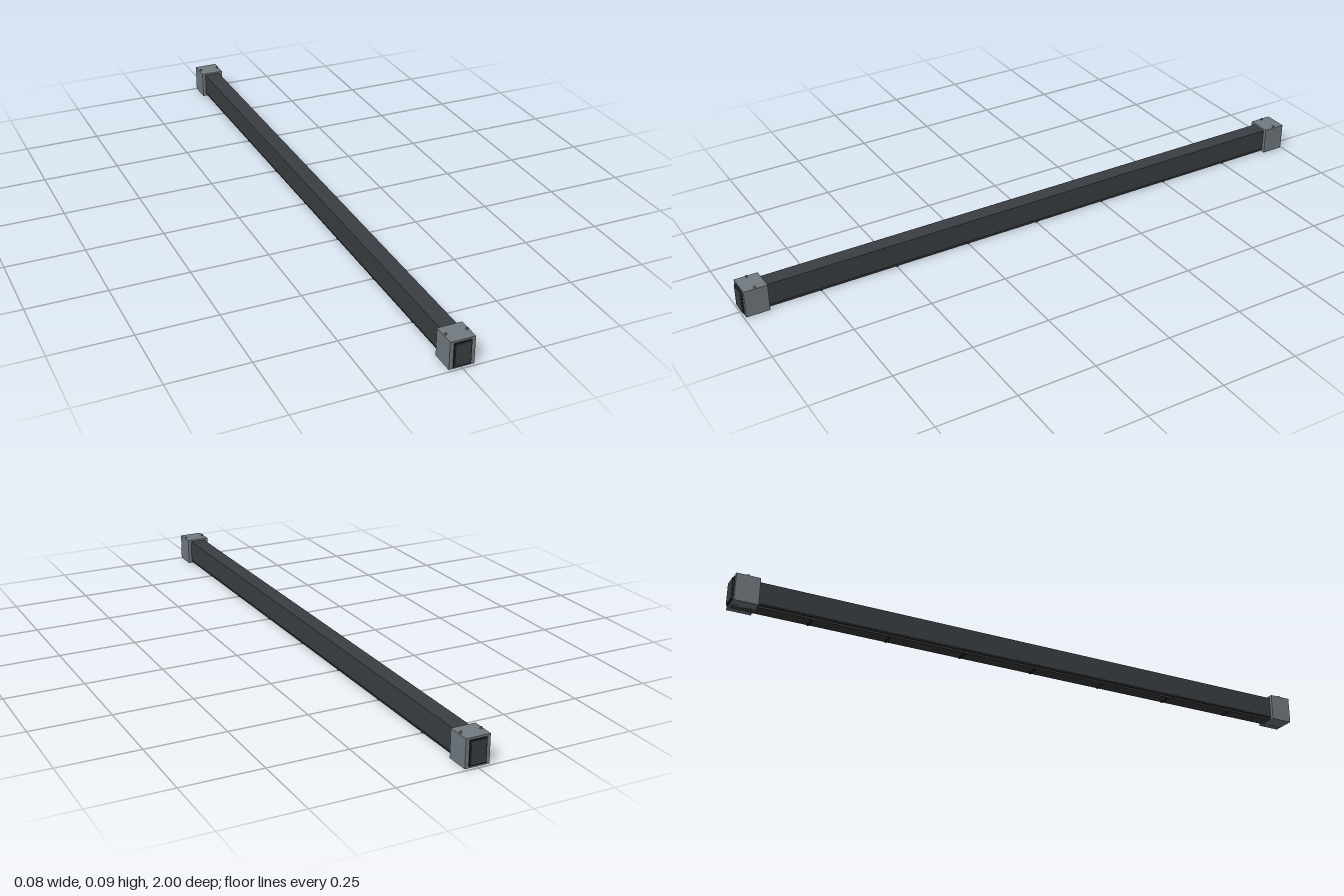
import * as THREE from 'three';

const HALF = 1;          // half length of the bar
const BRACKET_Z = 0.957; // centre of each end bracket

const paint = (color) => new THREE.MeshStandardMaterial({ color });
const housingMat = paint(0x3a3f43);
const bracketMat = paint(0x737b81);
const darkMat = paint(0x202326);
const lensMat = paint(0x3c3c3c);

function add(parent, name, geometry, material, x = 0, y = 0, z = 0) {
  const mesh = new THREE.Mesh(geometry, material);
  mesh.name = name;
  mesh.position.set(x, y, z);
  parent.add(mesh);
  return mesh;
}

// Box given by its width, bottom, top and length, centred on x
function bar(parent, name, material, width, y0, y1, length, z = 0) {
  return add(parent, name, new THREE.BoxGeometry(width, y1 - y0, length), material, 0, (y0 + y1) / 2, z);
}

function rectangle(target, hw, y0, y1) {
  target.moveTo(-hw, y0);
  target.lineTo(hw, y0);
  target.lineTo(hw, y1);
  target.lineTo(-hw, y1);
  target.closePath();
  return target;
}

// Rectangular sleeve that wraps the housing, with two screws on top
function createBracket(side) {
  const bracket = new THREE.Group();
  bracket.name = side > 0 ? 'frontBracket' : 'backBracket';

  const depth = 0.074;
  const shape = rectangle(new THREE.Shape(), 0.0385, 0.002, 0.09);
  shape.holes.push(rectangle(new THREE.Path(), 0.027, 0.007, 0.084));
  const sleeve = new THREE.ExtrudeGeometry(shape, { depth, bevelEnabled: false });
  sleeve.translate(0, 0, -depth / 2);
  add(bracket, 'sleeve', sleeve, bracketMat, 0, 0, side * BRACKET_Z);

  for (const x of [-0.032, 0.032]) {
    add(bracket, 'screw', new THREE.CylinderGeometry(0.0035, 0.0035, 0.006, 12), bracketMat,
      x, 0.092, side * BRACKET_Z);
  }

  // Dark plate closing the end of the housing
  bar(bracket, 'endSeal', darkMat, 0.0535, 0.0075, 0.0835, 0.004, side * (HALF - 0.005));
  bar(bracket, 'endPlate', housingMat, 0.049, 0.011, 0.081, 0.006, side * (HALF - 0.003));
  return bracket;
}

export function createModel() {
  const model = new THREE.Group();
  model.name = 'lightBar';

  // Long housing with a dark seam along its lower edge
  bar(model, 'housing', housingMat, 0.052, 0.014, 0.083, 2 * HALF - 0.012);
  bar(model, 'lowerSeam', darkMat, 0.05, 0.008, 0.014, 2 * HALF - 0.012);

  // Underside strip, split into equal lengths by thin ribs
  bar(model, 'lensStrip', lensMat, 0.044, 0.002, 0.008, 1.98);
  for (let i = -3; i <= 3; i++) {
    bar(model, 'stripRib', darkMat, 0.044, 0, 0.008, 0.008, i * 0.25);
  }

  for (const side of [1, -1]) model.add(createBracket(side));
  return model;
}
